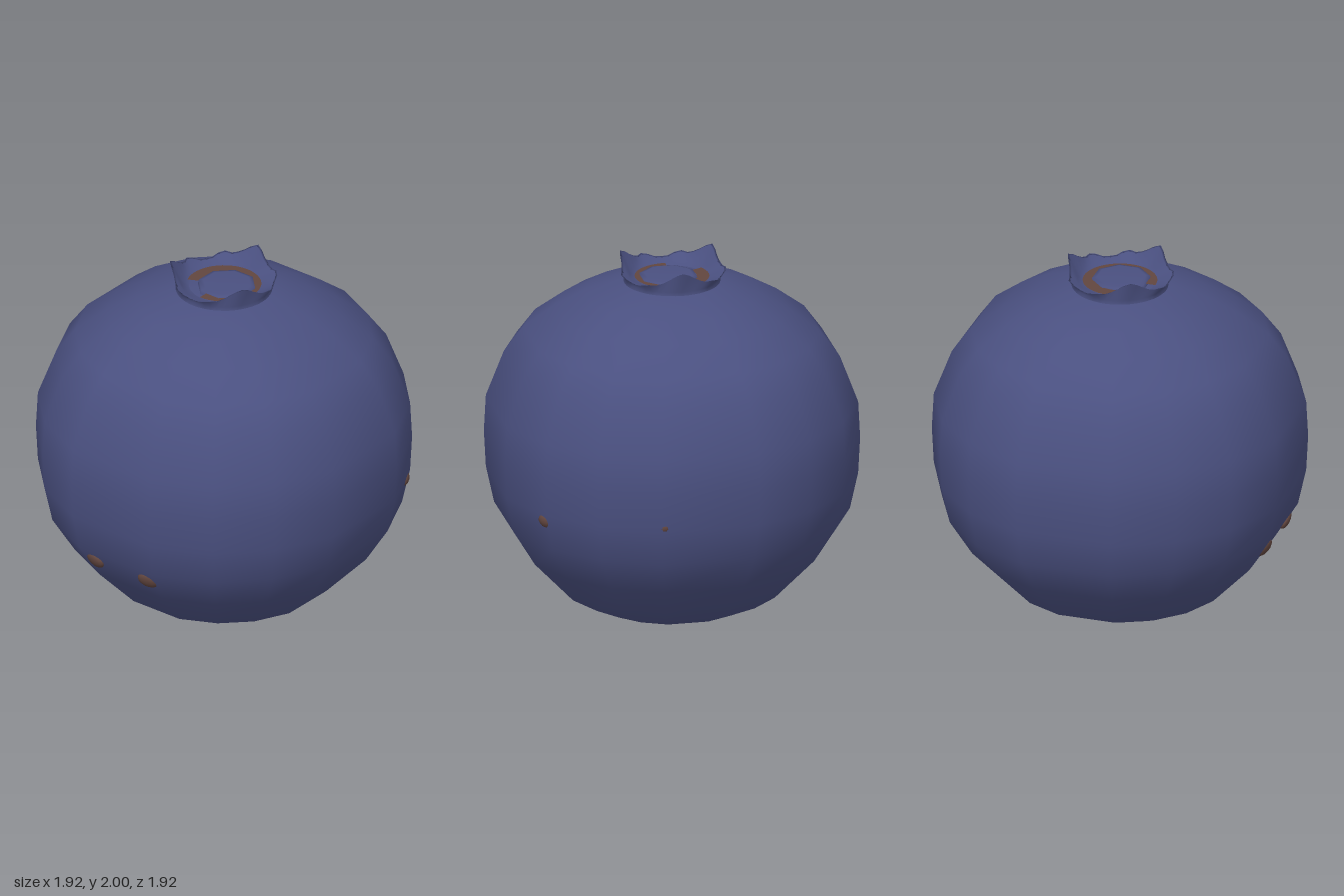
import * as THREE from 'three';

const skin = new THREE.MeshStandardMaterial({ color: 0x4a5080 });
skin.name = 'berryBlue';
const scar = new THREE.MeshStandardMaterial({ color: 0x62463f });
scar.name = 'scarBrown';
const skinOpen = new THREE.MeshStandardMaterial({ color: 0x4a5080, side: THREE.DoubleSide });
skinOpen.name = 'sepalBlue';

// Joins horizontal rings, listed bottom to top; point(row, angle) gives [radius, y]
function loft(rows, angles, point) {
  const pos = [], index = [], n = angles.length;
  for (let i = 0; i < rows; i++) {
    for (const a of angles) {
      const [r, y] = point(i, a);
      pos.push(r * Math.cos(a), y, r * Math.sin(a));
    }
  }
  for (let i = 0; i < rows - 1; i++) {
    for (let j = 0; j < n; j++) {
      const a = i * n + j, b = i * n + (j + 1) % n;
      index.push(a, a + n, b, b, a + n, b + n);
    }
  }
  const g = new THREE.BufferGeometry();
  g.setAttribute('position', new THREE.Float32BufferAttribute(pos, 3));
  g.setIndex(index);
  g.computeVertexNormals();
  return g;
}

function add(group, name, geometry, material) {
  const m = new THREE.Mesh(geometry, material);
  m.name = name;
  group.add(m);
  return m;
}

export function createModel() {
  const berry = new THREE.Group();
  berry.name = 'berry';

  // Body: sixteen sides, with wider flats facing the four axes
  const sides = [];
  for (let q = 0; q < 4; q++) {
    for (const d of [15.3, 35.5, 54.5, 74.7]) sides.push(THREE.MathUtils.degToRad(q * 90 + d));
  }
  const profile = [
    [0.0, 0.005], [0.2, 0.005], [0.4, 0.075], [0.57, 0.16], [0.79, 0.4], [0.91, 0.6], [0.952, 0.8],
    [0.962, 1.0], [0.952, 1.2], [0.86, 1.45], [0.76, 1.59], [0.6, 1.715], [0.45, 1.8],
    [0.27, 1.866], [0.12, 1.875], [0, 1.875],
  ];
  const flat = Math.cos(THREE.MathUtils.degToRad(15.3));
  add(berry, 'body', loft(profile.length, sides, (i) => [profile[i][0] / flat, profile[i][1]]), skin);

  // Crown: a flared collar with three tall sepals and low ripples between them
  const crown = new THREE.Group();
  crown.name = 'crown';
  berry.add(crown);
  const fine = Array.from({ length: 48 }, (_, i) => i / 48 * Math.PI * 2);
  const collar = (i, a) => {
    const tall = Math.pow((1 + Math.cos(3 * (a + Math.PI / 2))) / 2, 2);
    const ripple = Math.pow((1 + Math.cos(9 * (a + Math.PI / 2))) / 2, 2);
    const rim = 1.905 + 0.075 * tall + 0.02 * ripple;
    const flare = 0.268 + 0.022 * ripple;
    return [
      [0.262, 1.855], [0.25, 1.885], [flare, rim], [flare - 0.012, rim - 0.004],
      [0.225, 1.892], [0.185, 1.88],
    ][i];
  };
  add(crown, 'sepals', loft(6, fine, collar), skinOpen);

  // Brown scar ring around the low central button
  const ring = new THREE.RingGeometry(0.13, 0.198, 40, 1, -1.6, 5.2);
  ring.rotateX(-Math.PI / 2);
  add(crown, 'scarRing', ring, scar).position.y = 1.891;
  const button = [[0.16, 1.875], [0.155, 1.897], [0.13, 1.904], [0, 1.904]];
  const eight = Array.from({ length: 8 }, (_, i) => (i + 0.5) / 8 * Math.PI * 2);
  add(crown, 'button', loft(4, eight, (i) => button[i]), skin).position.x = 0.02;

  // Small raised brown blemishes
  const spots = [
    [-0.18, 0.53, 0.862, 1], [0.18, 0.53, 0.862, 1],
    [0.8, 0.76, -0.53, 0.75], [0.25, 0.82, -0.93, 0.6],
  ];
  for (const [x, y, z, s] of spots) {
    const g = new THREE.SphereGeometry(1, 12, 8);
    g.scale(0.062 * s, 0.052 * s, 0.026);
    const spot = add(berry, 'blemish', g, scar);
    spot.position.set(x, y, z);
    spot.lookAt(x * 2, y * 2 - 0.95, z * 2);
  }
  return berry;
}
